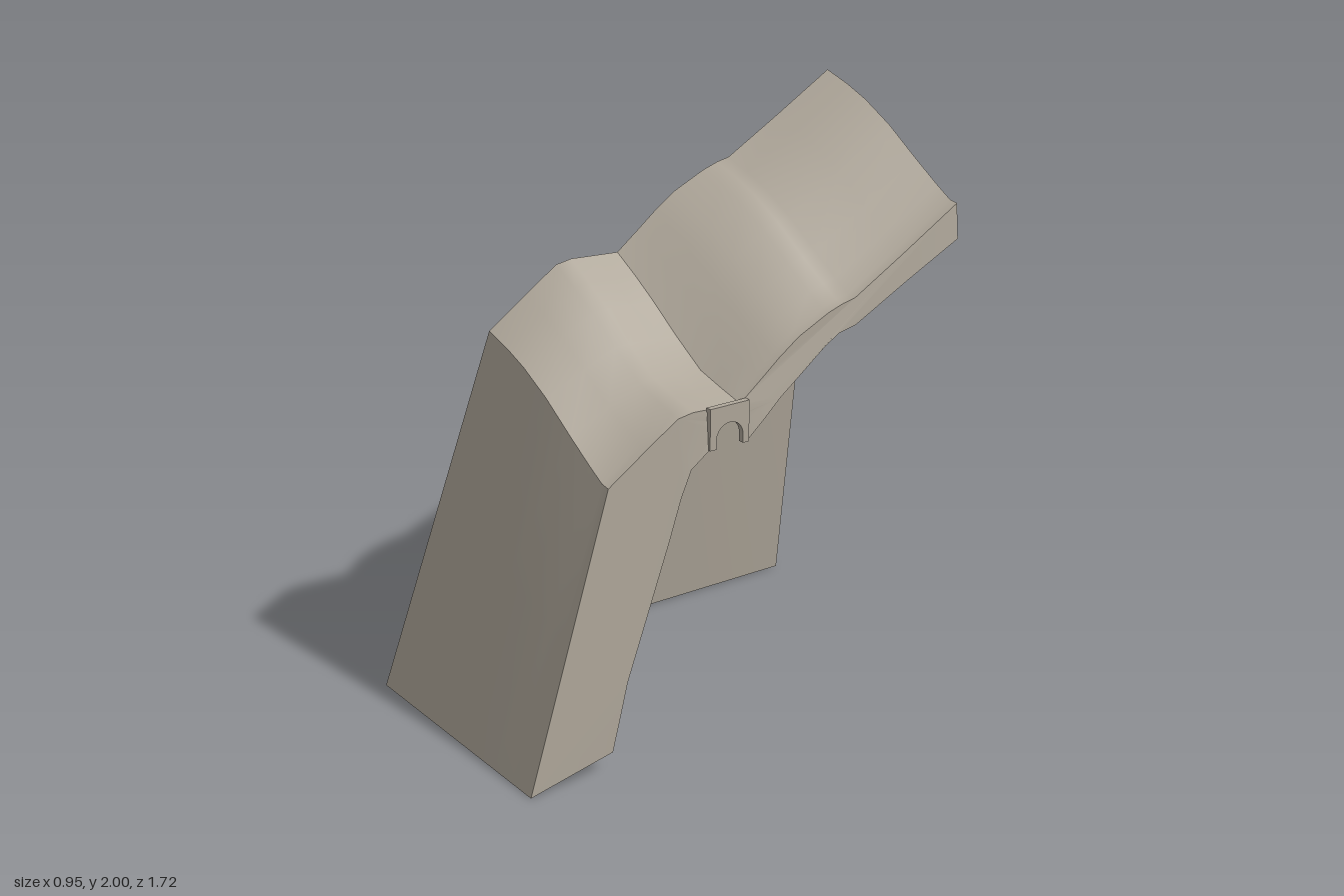
import * as THREE from 'three';

const stone = new THREE.MeshStandardMaterial({ color: 0xb0a89b, side: THREE.DoubleSide });
stone.name = 'warm grey stone';

const RIDGE = -0.24, FOOT = -0.48, RIGHT = 0.455, FRONT = 0.545, TOE = 0.86, STEP = 0.035;

// Ridge height along z, and the drop from the ridge across x (plain and at the shelf)
const ridge = [[-0.86, 2], [-0.64, 1.87], [-0.43, 1.75], [-0.38, 1.74], [-0.32, 1.72], [-0.2, 1.665], [-0.12, 1.61],
  [-0.05, 1.555], [STEP, 1.49], [0.13, 1.495], [0.22, 1.5], [0.28, 1.49], [0.4, 1.41], [FRONT, 1.31]];
const drop = [[RIDGE, 0], [-0.13, 0.03], [-0.03, 0.066], [0.1, 0.13], [0.24, 0.217], [0.35, 0.282], [0.42, 0.32], [RIGHT, 0.325]];
const shelfDrop = [[RIDGE, 0], [-0.13, 0.058], [-0.04, 0.11], [0.09, 0.195], [0.23, 0.28], [0.32, 0.303], [0.42, 0.325], [RIGHT, 0.332]];
const shelfWeight = [[-0.3, 0], [STEP, 1], [0.25, 1], [FRONT, 0]];

// Piecewise-linear lookup
function lerpTable(table, t) {
  if (t <= table[0][0]) return table[0][1];
  for (let i = 1; i < table.length; i++) {
    const [a, va] = table[i - 1], [b, vb] = table[i];
    if (t <= b) return va + (vb - va) * (t - a) / (b - a);
  }
  return table[table.length - 1][1];
}

function height(x, z) {
  const w = lerpTable(shelfWeight, z);
  return lerpTable(ridge, z) - (1 - w) * lerpTable(drop, x) - w * lerpTable(shelfDrop, x);
}

// Smooth sheet over two lists of parameters
function sheet(us, vs, fn) {
  const pos = [], idx = [], n = vs.length;
  us.forEach(u => vs.forEach(v => pos.push(...fn(u, v))));
  for (let i = 0; i < us.length - 1; i++) {
    for (let j = 0; j < n - 1; j++) {
      const a = i * n + j, b = a + n;
      idx.push(a, b, b + 1, a, b + 1, a + 1);
    }
  }
  const g = new THREE.BufferGeometry();
  g.setAttribute('position', new THREE.Float32BufferAttribute(pos, 3));
  g.setIndex(idx);
  g.computeVertexNormals();
  return g;
}

function triangle(...points) {
  const g = new THREE.BufferGeometry();
  g.setAttribute('position', new THREE.Float32BufferAttribute(points.flat(), 3));
  g.computeVertexNormals();
  return g;
}

export function createModel() {
  const model = new THREE.Group();
  model.name = 'hillside';
  const add = (name, geometry) => {
    const mesh = new THREE.Mesh(geometry, stone);
    mesh.name = name;
    model.add(mesh);
  };

  const zs = ridge.map(p => p[0]);
  const xs = drop.map(p => p[0]);
  const ground = (z, x) => [x, height(x, z), z];

  // Ground, creased where the slope meets the shelf
  add('upperSlope', sheet(zs.filter(z => z <= STEP), xs, ground));
  add('lowerShelf', sheet(zs.filter(z => z >= STEP), xs, ground));

  // Leaning front face
  add('frontFace', sheet(xs, [0, 0.5, 1], (x, t) =>
    [x + (x === RIGHT ? 0.012 * (1 - t) : 0), height(x, FRONT) * t, TOE + (FRONT - TOE) * t]));

  // Leaning side wall and the front corner
  add('sideWall', sheet(zs, [0, 0.5, 1], (z, t) =>
    [FOOT + (RIDGE - FOOT) * t, height(RIDGE, z) * t, z]));
  const peak = [RIDGE, height(RIDGE, FRONT), FRONT];
  add('cornerSide', triangle([FOOT, 0, FRONT], [FOOT, 0, TOE], peak));
  add('cornerFront', triangle([FOOT, 0, TOE], [RIDGE, 0, TOE], peak));

  // Cut edge strip on the right, with the archway notched out of it
  const edge = new THREE.Shape();
  edge.moveTo(-TOE, 0);
  [[FRONT, 0.065], [0.52, 0.16], [0.485, 0.3], [0.405, 0.52], [0.32, 0.755], [0.275, 0.89], [0.235, 0.98], [0.165, 1.03],
    [0.145, 1.03], [0.143, 1.07]].forEach(([z, y]) => edge.lineTo(-z, y));
  edge.absarc(-0.09, 1.06, 0.053, Math.PI, 0, true);
  [[0.035, 1.03], [0.015, 1.03], [-0.05, 1.085], [-0.12, 1.15], [-0.2, 1.21], [-0.3, 1.285], [-0.36, 1.32],
    [-0.43, 1.335], [-0.64, 1.445], [-0.86, 1.555]].forEach(([z, y]) => edge.lineTo(-z, y));
  zs.forEach(z => edge.lineTo(-z, height(RIGHT, z)));
  const strip = new THREE.ShapeGeometry(edge, 10).rotateY(Math.PI / 2);
  const p = strip.attributes.position;
  for (let i = 0; i < p.count; i++) {
    const z = p.getZ(i);
    const top = z > FRONT ? height(RIGHT, FRONT) * (TOE - z) / (TOE - FRONT) : height(RIGHT, z);
    p.setX(i, z > TOE - 0.001 ? RIGHT + 0.012 : RIGHT + 0.012 * THREE.MathUtils.clamp((top - p.getY(i)) / 0.12, 0, 1));
  }
  strip.computeVertexNormals();
  add('edgeStrip', strip);

  // Small arch standing on the edge
  const arch = new THREE.Shape();
  arch.moveTo(-0.168, 1.03);
  arch.lineTo(-0.143, 1.03);
  arch.lineTo(-0.143, 1.06);
  arch.absarc(-0.09, 1.06, 0.053, Math.PI, 0, true);
  arch.lineTo(-0.037, 1.03);
  arch.lineTo(-0.013, 1.03);
  arch.lineTo(-0.013, 1.172);
  arch.lineTo(-0.168, 1.172);
  add('arch', new THREE.ExtrudeGeometry(arch, { depth: 0.022, bevelEnabled: false, curveSegments: 10 })
    .rotateY(Math.PI / 2).translate(0.453, 0, 0));

  return model;
}
